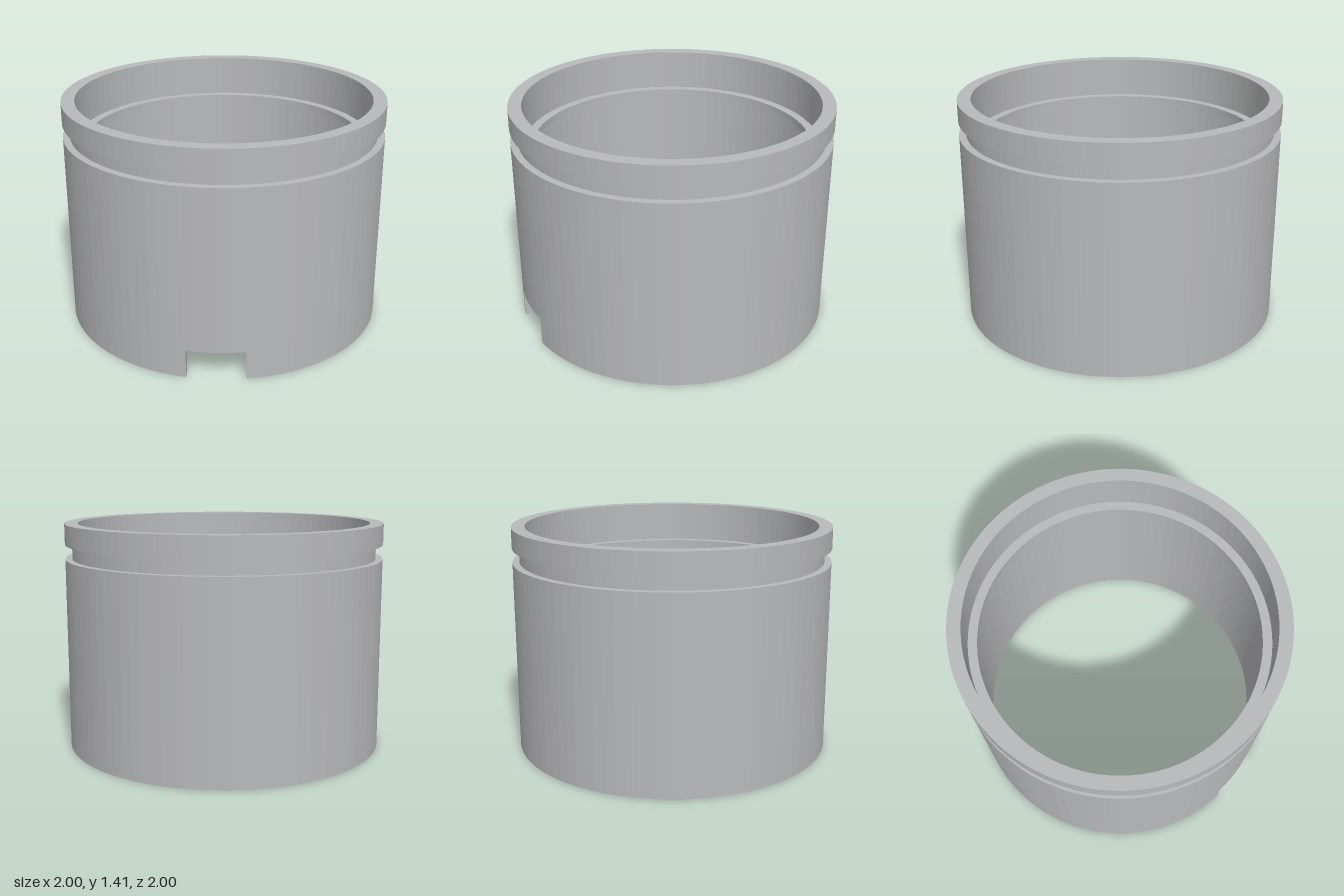
import * as THREE from 'three';

const SEGMENTS = 96;
const OUTER = 1, INNER = 0.917, LIP = 0.86, GROOVE = 0.956;
const HEIGHT = 1.415, NOTCH_HALF = 0.175, NOTCH_TOP = 0.18;

// Points around a circle, leaving a parallel-sided gap at the front (+z)
function openArc(r) {
  const at = (a) => new THREE.Vector2(r * Math.sin(a), -r * Math.cos(a));
  const gap = Math.asin(NOTCH_HALF / r);
  const step = (Math.PI * 2) / SEGMENTS;
  const points = [at(gap)];
  for (let k = 1; k < SEGMENTS; k++) {
    const a = k * step;
    if (a > gap + 0.001 && a < Math.PI * 2 - gap - 0.001) points.push(at(a));
  }
  points.push(at(-gap));
  return points;
}

export function createModel() {
  const group = new THREE.Group();
  group.name = 'groovedCollar';

  const grey = new THREE.MeshStandardMaterial({ color: 0xb8b9bb, flatShading: true });
  grey.name = 'grey';

  // Sleeve above the notch: outer groove near the top, thin lip inside
  const profile = [
    [INNER, NOTCH_TOP], [OUTER, NOTCH_TOP],
    [OUTER, 1.195], [GROOVE, 1.195], [GROOVE, 1.285], [OUTER, 1.285],
    [OUTER, HEIGHT], [INNER, HEIGHT],
    [INNER, 1.16], [LIP, 1.16], [LIP, 1.12], [INNER, 1.12],
    [INNER, NOTCH_TOP],
  ].map(([x, y]) => new THREE.Vector2(x, y));
  const sleeve = new THREE.Mesh(new THREE.LatheGeometry(profile, SEGMENTS), grey);
  sleeve.name = 'sleeve';
  group.add(sleeve);

  // Bottom band, cut through at the front by the notch
  const outline = new THREE.Shape([...openArc(OUTER), ...openArc(INNER).reverse()]);
  const bandGeometry = new THREE.ExtrudeGeometry(outline, { depth: NOTCH_TOP, bevelEnabled: false });
  bandGeometry.rotateX(-Math.PI / 2);
  const band = new THREE.Mesh(bandGeometry, grey);
  band.name = 'notchedBase';
  group.add(band);

  return group;
}
